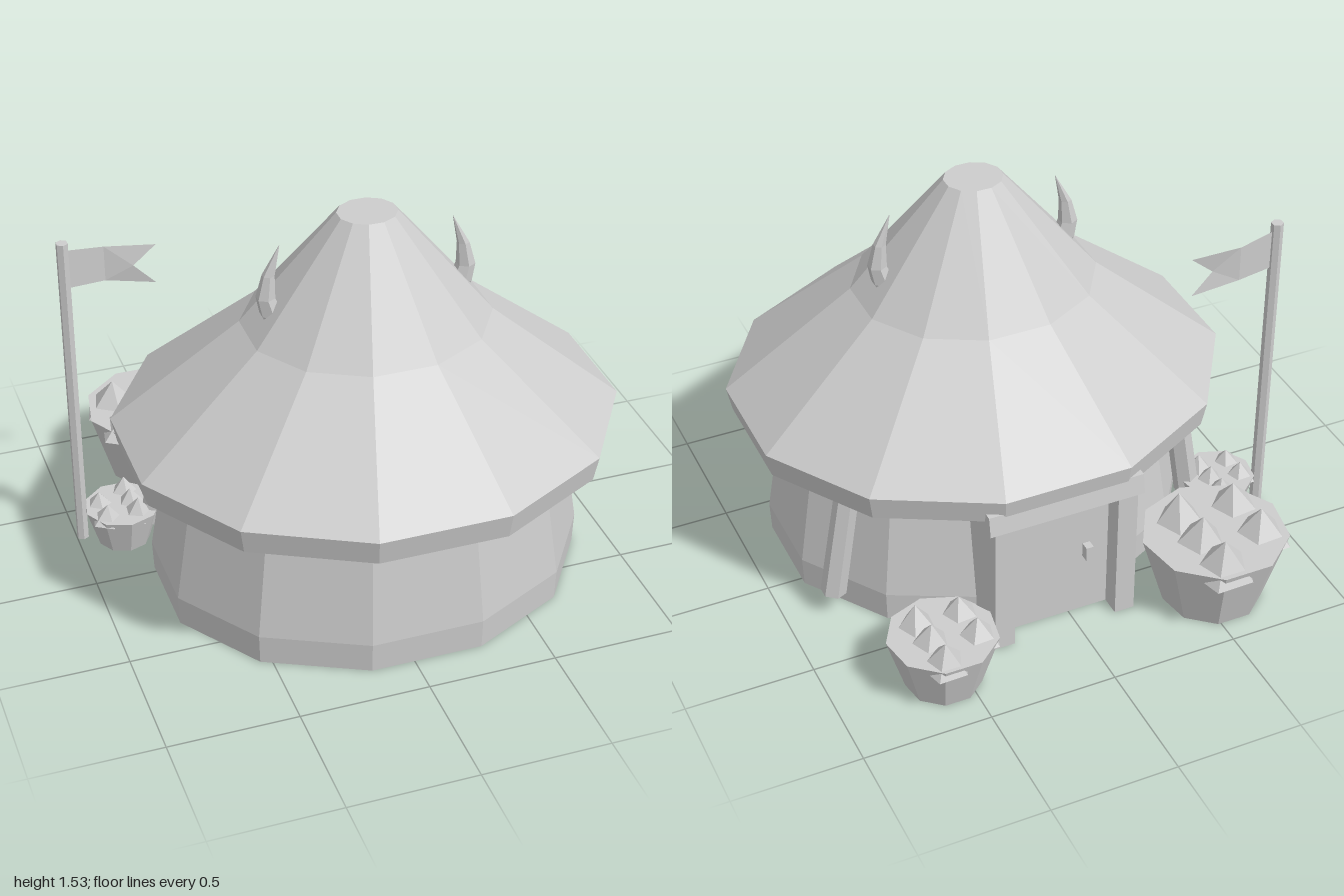
import * as THREE from 'three';

export function createModel() {
  const model = new THREE.Group();
  const clay = new THREE.MeshStandardMaterial({ color: 0xcccccc, flatShading: true, side: THREE.DoubleSide });
  clay.name = 'plain grey';

  const add = (parent, name, geometry, x = 0, y = 0, z = 0) => {
    const mesh = new THREE.Mesh(geometry, clay);
    mesh.name = name;
    mesh.position.set(x, y, z);
    parent.add(mesh);
    return mesh;
  };

  // Twelve-sided shell; widths are measured across the flats
  const shell = (profile, depth) => {
    const c = Math.cos(Math.PI / 12);
    const g = new THREE.LatheGeometry(profile.map(([r, y]) => new THREE.Vector2(r / c, y)), 12);
    return g.rotateY(Math.PI / 12).scale(1, 1, depth);
  };

  // Hut body, hollow and open underneath
  const hut = new THREE.Group();
  hut.name = 'hut';
  hut.position.set(0.05, 0, 0.155);
  model.add(hut);
  add(hut, 'wall', shell([[0.81, 0], [0.815, 0.12], [0.74, 0.6], [0.725, 0.7]], 0.852));
  add(hut, 'roof', shell([[0.92, 0.6], [0.94, 0.7], [0.46, 1.1], [0.11, 1.535], [0, 1.535]], 0.9));

  // Curved horn lofted from six-sided rings
  const hornGeometry = (side) => {
    const rings = [[0.365, 1.14, 0.03], [0.37, 1.18, 0.044], [0.39, 1.25, 0.037],
      [0.378, 1.34, 0.024], [0.335, 1.455, 0.001]];
    const n = 6, pos = [], index = [];
    rings.forEach(([x, y, r], i) => {
      for (let j = 0; j < n; j++) {
        const a = (j / n) * Math.PI * 2;
        pos.push(side * (x + Math.sin(a) * r), y, Math.cos(a) * r);
        if (i === rings.length - 1) continue;
        const p = i * n + j, q = i * n + (j + 1) % n;
        if (side > 0) index.push(p, q, q + n, p, q + n, p + n);
        else index.push(p, q + n, q, p, p + n, q + n);
      }
    });
    const g = new THREE.BufferGeometry();
    g.setAttribute('position', new THREE.Float32BufferAttribute(pos, 3));
    g.setIndex(index);
    g.computeVertexNormals();
    return g;
  };

  // Horns and leaning side posts, mirrored
  for (const side of [1, -1]) {
    const label = side > 0 ? 'left' : 'right';
    add(hut, label + 'Horn', hornGeometry(side));
    const post = add(hut, label + 'Post', new THREE.CylinderGeometry(0.046, 0.05, 0.56, 6),
      side * 0.715, 0.37, -0.375);
    post.rotation.z = side * 0.16;
  }

  // Doorway at the back
  const doorway = new THREE.Group();
  doorway.name = 'doorway';
  doorway.position.set(0.05, 0, 0);
  model.add(doorway);
  for (const side of [1, -1]) {
    add(doorway, side > 0 ? 'leftJamb' : 'rightJamb', new THREE.BoxGeometry(0.08, 0.57, 0.28), side * 0.25, 0.285, -0.54);
  }
  const lintel = new THREE.BoxGeometry(0.625, 0.08, 0.28);
  const lp = lintel.attributes.position;
  for (let i = 0; i < lp.count; i++) {
    if (lp.getY(i) > 0) lp.setZ(i, lp.getZ(i) * 0.9);
  }
  add(doorway, 'lintel', lintel, 0, 0.6, -0.55);
  add(doorway, 'door', new THREE.BoxGeometry(0.42, 0.56, 0.04), 0, 0.28, -0.58);
  add(doorway, 'doorHandle', new THREE.BoxGeometry(0.03, 0.06, 0.04), -0.12, 0.29, -0.615);

  // Nine-sided basket heaped with pointed produce
  const addBasket = (name, x, z, scale) => {
    const basket = new THREE.Group();
    basket.name = name;
    basket.position.set(x, 0, z);
    basket.scale.setScalar(scale);
    model.add(basket);
    add(basket, 'basketBody', new THREE.CylinderGeometry(0.285, 0.195, 0.3, 9), 0, 0.15, 0);
    const spots = [[0.06, -0.18, 0.11], [-0.16, -0.065, 0.1], [0.07, -0.025, 0.11],
      [-0.14, 0.115, 0.1], [0.09, 0.12, 0.12]];
    spots.forEach(([px, pz, h], i) => {
      const cone = add(basket, 'produce', new THREE.ConeGeometry(0.125, h + 0.04, 5),
        px, 0.28 + h / 2, pz);
      cone.rotation.set(pz * 0.4, i * 1.3, -px * 0.4);
    });
  };
  addBasket('largeBasket', -0.555, -0.72, 1);
  addBasket('mediumBasket', 0.58, -0.742, 0.74);
  addBasket('smallBasket', -0.82, -0.265, 0.53);

  // Flagpole with a swallow-tailed flag
  add(model, 'flagpole', new THREE.CylinderGeometry(0.024, 0.024, 1.34, 6), -0.976, 0.67, -0.32);
  const outline = [[-0.96, 1.305], [-0.96, 1.145], [-0.815, 1.14], [-0.625, 1.107],
    [-0.71, 1.195], [-0.62, 1.27], [-0.815, 1.285]];
  const flag = new THREE.ShapeGeometry(new THREE.Shape(outline.map(([x, y]) => new THREE.Vector2(x, y))));
  const fp = flag.attributes.position;
  for (let i = 0; i < fp.count; i++) {
    fp.setZ(i, Math.abs(fp.getX(i) + 0.815) < 0.01 ? -0.34 : -0.32);
  }
  flag.computeVertexNormals();
  add(model, 'flag', flag);

  return model;
}
